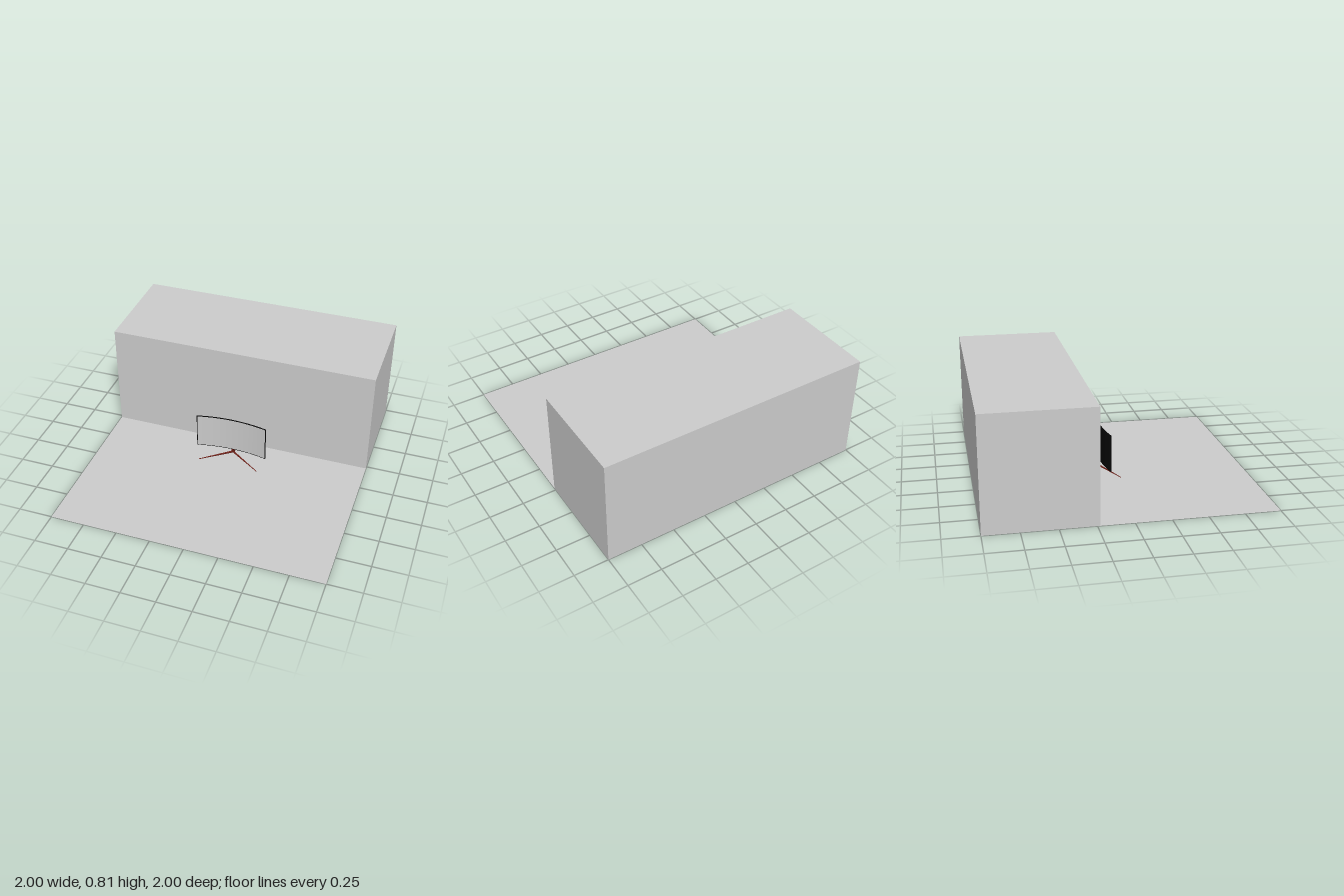
import * as THREE from 'three';

const grey = new THREE.MeshStandardMaterial({ color: 0xcccccc, side: THREE.DoubleSide });
const black = new THREE.MeshStandardMaterial({ color: 0x060606 });
const red = new THREE.MeshStandardMaterial({ color: 0x6b2018, flatShading: true });

const RADIUS = 1.12, CENTRE_Z = 1.075; // curvature of the display

function add(parent, name, geometry, material) {
  const mesh = new THREE.Mesh(geometry, material);
  mesh.name = name;
  parent.add(mesh);
  return mesh;
}

// Flat sheet given its size, centre and rotation
function sheet(parent, name, w, h, pos, rx = 0, ry = 0) {
  const mesh = add(parent, name, new THREE.PlaneGeometry(w, h), grey);
  mesh.position.set(...pos);
  mesh.rotation.set(rx, ry, 0);
}

// Upright curved slab between two radii, concave towards +z
function curvedSlab(inner, outer, halfWidth, y0, y1) {
  const a = Math.asin(halfWidth / RADIUS), mid = Math.PI / 2;
  const shape = new THREE.Shape();
  shape.absarc(0, -CENTRE_Z, outer, mid - a, mid + a, false);
  shape.absarc(0, -CENTRE_Z, inner, mid + a, mid - a, true);
  const g = new THREE.ExtrudeGeometry(shape, { depth: y1 - y0, bevelEnabled: false, curveSegments: 16 });
  return g.rotateX(-Math.PI / 2).translate(0, y0, 0);
}

// Tapered four-sided bar between two points
function bar(from, to, r0, r1) {
  const a = new THREE.Vector3(...from), b = new THREE.Vector3(...to);
  const dir = b.clone().sub(a);
  const g = new THREE.CylinderGeometry(r1, r0, dir.length(), 4).rotateY(Math.PI / 4);
  const q = new THREE.Quaternion().setFromUnitVectors(new THREE.Vector3(0, 1, 0), dir.normalize());
  const mid = a.add(b).multiplyScalar(0.5);
  return g.applyQuaternion(q).translate(mid.x, mid.y, mid.z);
}

export function createModel() {
  const model = new THREE.Group();

  // Floor and the large cabinet block, open underneath
  const H = 0.81, FRONT = -0.23, D = 1 + FRONT, midZ = (FRONT - 1) / 2;
  sheet(model, 'floor', 2, 1 - FRONT, [0, 0, (1 + FRONT) / 2], -Math.PI / 2);
  const block = new THREE.Group();
  block.name = 'block';
  model.add(block);
  sheet(block, 'blockTop', 2, D, [0, H, midZ], -Math.PI / 2);
  sheet(block, 'blockFront', 2, H, [0, H / 2, FRONT]);
  sheet(block, 'blockBack', 2, H, [0, H / 2, -1], 0, Math.PI);
  for (const s of [-1, 1]) sheet(block, s > 0 ? 'blockLeft' : 'blockRight', D, H, [s, H / 2, midZ], 0, s * Math.PI / 2);

  // Curved display: bezel, inset rear shell and screen
  const display = new THREE.Group();
  display.name = 'display';
  model.add(display);
  add(display, 'bezel', curvedSlab(RADIUS, RADIUS + 0.006, 0.27, 0.07, 0.346), black);
  add(display, 'rearShell', curvedSlab(RADIUS + 0.005, RADIUS + 0.012, 0.263, 0.077, 0.339), black);
  add(display, 'screen', curvedSlab(RADIUS - 0.001, RADIUS + 0.001, 0.265, 0.075, 0.341), grey);

  // Stand: post, bracket and three splayed legs
  const stand = new THREE.Group();
  stand.name = 'stand';
  model.add(stand);
  const post = add(stand, 'post', new THREE.BoxGeometry(0.03, 0.165, 0.016), red);
  const p = post.geometry.attributes.position;
  for (let i = 0; i < p.count; i++) if (p.getY(i) < 0) p.setX(i, p.getX(i) * 0.6);
  post.position.set(0, 0.1125, -0.067);
  add(stand, 'bracket', new THREE.BoxGeometry(0.03, 0.03, 0.02), red).position.set(0, 0.185, -0.061);
  const hub = [0, 0.03, -0.068];
  add(stand, 'leftLeg', bar(hub, [0.228, 0.003, 0.068], 0.009, 0.003), red);
  add(stand, 'rightLeg', bar(hub, [-0.228, 0.003, 0.068], 0.009, 0.003), red);
  add(stand, 'rearLeg', bar(hub, [0, 0.003, -0.138], 0.011, 0.004), red);

  return model;
}
